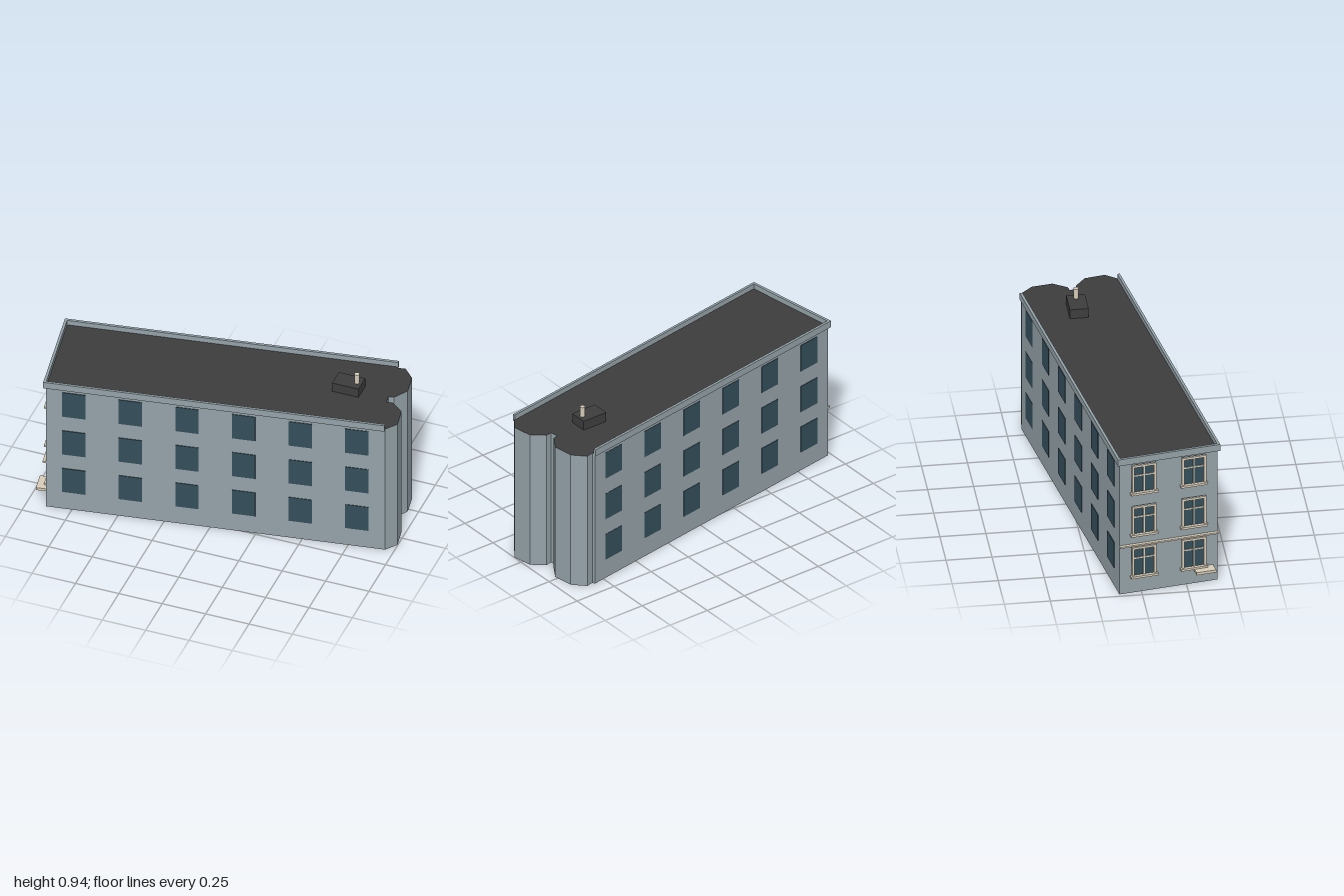
import * as THREE from 'three';

export function createModel() {
  const model = new THREE.Group();
  model.name = 'building';
  const mat = (name, color, extra = {}) => {
    const m = new THREE.MeshStandardMaterial({ color, ...extra });
    m.name = name;
    return m;
  };
  const wall = mat('blue grey wall', 0x94a2a8);
  const roof = mat('dark roofing', 0x3d3d3d);
  const glass = mat('window glass', 0x344e5a);
  const trim = mat('cream trim', 0xd6ccb8);

  // Box given by its min and max corners
  const box = (parent, name, m, x0, x1, y0, y1, z0, z1) => {
    const mesh = new THREE.Mesh(new THREE.BoxGeometry(x1 - x0, y1 - y0, z1 - z0), m);
    mesh.position.set((x0 + x1) / 2, (y0 + y1) / 2, (z0 + z1) / 2);
    mesh.name = name;
    parent.add(mesh);
    return mesh;
  };

  // Main block with two faceted bays at the right end; dark roof and underside
  const outline = [
    [-0.892, 0.423], [0.95, 0.127], [0.998, 0.063], [0.977, -0.05], [0.908, -0.105],
    [0.872, -0.1], [0.865, -0.146], [0.895, -0.152], [0.944, -0.23], [0.926, -0.345],
    [0.863, -0.41], [0.822, -0.4], [0.816, -0.415], [-0.98, -0.122],
  ];
  const shape = new THREE.Shape(outline.map(([x, z]) => new THREE.Vector2(x, -z)));
  const bodyGeo = new THREE.ExtrudeGeometry(shape, { depth: 0.82, bevelEnabled: false });
  bodyGeo.rotateX(-Math.PI / 2);
  const body = new THREE.Mesh(bodyGeo, [roof, wall]);
  body.name = 'mainBlock';
  model.add(body);

  // Roof housing and vent pipe
  box(model, 'roofHousing', roof, 0.565, 0.717, 0.815, 0.876, -0.185, -0.083);
  const pipe = new THREE.Mesh(new THREE.CylinderGeometry(0.014, 0.014, 0.065, 12), trim);
  pipe.position.set(0.688, 0.9025, -0.135);
  pipe.name = 'ventPipe';
  model.add(pipe);

  // Everything aligned with the long walls sits in a turned group
  const turned = new THREE.Group();
  turned.name = 'wallDetails';
  turned.rotation.y = 0.16;
  model.add(turned);

  // Parapet on three sides
  box(turned, 'frontParapet', wall, -0.96, 0.917, 0.81, 0.85, 0.273, 0.287);
  box(turned, 'backParapet', wall, -0.96, 0.876, 0.81, 0.85, -0.288, -0.273);
  box(turned, 'leftParapet', wall, -0.96, -0.945, 0.81, 0.85, -0.273, 0.273);

  // Plain windows on the long walls
  const rows = [[0.115, 0.275], [0.37, 0.531], [0.627, 0.79]];
  for (const [y0, y1] of rows) {
    for (let i = 0; i < 6; i++) {
      const f = -0.794 + i * 0.3115;
      const b = -0.797 + i * 0.3046;
      box(turned, 'frontWindow', glass, f - 0.064, f + 0.064, y0, y1, 0.272, 0.2795);
      box(turned, 'backWindow', glass, b - 0.063, b + 0.063, y0, y1, -0.281, -0.274);
    }
  }

  // Framed windows on the left end
  const endX = -0.948;
  const framedWindow = (v, y0, y1) => {
    const g = new THREE.Group();
    g.name = 'framedWindow';
    turned.add(g);
    const w = 0.068, t = 0.013, out = endX - 0.012;
    box(g, 'endGlass', glass, endX - 0.004, endX + 0.003, y0, y1, v - w, v + w);
    for (const s of [-1, 1]) {
      const c = v + s * (w - t / 2);
      box(g, 'jamb', trim, out, endX, y0, y1, c - t / 2, c + t / 2);
    }
    box(g, 'lintel', trim, out, endX, y1 - t, y1, v - w, v + w);
    box(g, 'mullion', trim, endX - 0.009, endX, y0, y1, v - 0.004, v + 0.004);
    const mid = y0 + (y1 - y0) * 0.62;
    box(g, 'transom', trim, endX - 0.008, endX, mid - 0.004, mid + 0.004, v - w, v + w);
    box(g, 'sill', trim, endX - 0.022, endX, y0 - 0.009, y0 + 0.004, v - 0.076, v + 0.076);
  };
  for (const v of [-0.14, 0.14]) {
    framedWindow(v, 0.105, 0.285);
    framedWindow(v, 0.365, 0.54);
    framedWindow(v, 0.625, 0.797);
  }

  // String course and entrance slab on the left end
  box(turned, 'stringCourse', trim, endX - 0.018, endX, 0.295, 0.304, -0.276, 0.276);
  box(turned, 'entranceSlab', trim, endX - 0.06, endX, 0.082, 0.098, 0.14, 0.25);

  return model;
}
